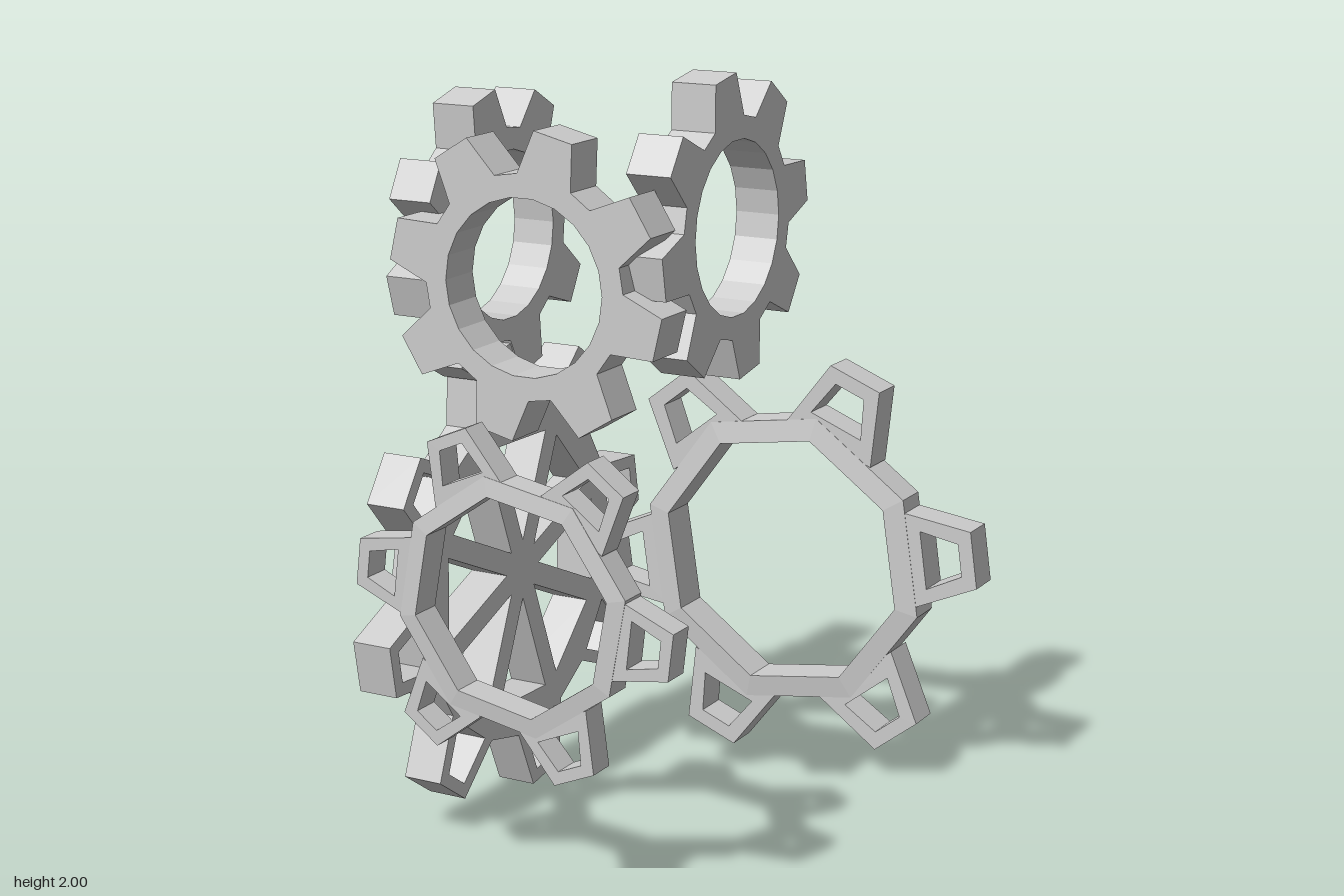
import * as THREE from 'three';

const TAU = Math.PI * 2;
const rad = (deg) => deg * Math.PI / 180;
const material = new THREE.MeshStandardMaterial({ color: 0xcccccc, flatShading: true, side: THREE.DoubleSide });

// Point at distance r along direction a, shifted sideways by s
const at = (a, r, s) => new THREE.Vector2(r * Math.cos(a) - s * Math.sin(a), r * Math.sin(a) + s * Math.cos(a));

// Trapezoid pointing along a: half widths w0 at r0 and w1 at r1
const trapezoid = (a, r0, w0, r1, w1) => [at(a, r0, -w0), at(a, r1, -w1), at(a, r1, w1), at(a, r0, w0)];

function extrude(shape, depth) {
  return new THREE.ExtrudeGeometry(shape, { depth, bevelEnabled: false, curveSegments: 20 })
    .translate(0, 0, -depth / 2);
}

function mesh(geometry, name) {
  const m = new THREE.Mesh(geometry, material);
  m.name = name;
  return m;
}

// Outline of a gear with tapered teeth
function gearShape({ teeth, phase, root, base, outer, tip }) {
  const points = [];
  for (let i = 0; i < teeth; i++) {
    points.push(...trapezoid(rad(phase) + i / teeth * TAU, root, base, outer, tip));
  }
  return new THREE.Shape(points);
}

// Small gear with a round bore
function smallGear(name, phase) {
  const shape = gearShape({ teeth: 8, phase, root: 0.267, base: 0.076, outer: 0.38, tip: 0.054 });
  const bore = [];
  for (let i = 0; i < 22; i++) bore.push(at(i / 22 * TAU, 0.22, 0));
  shape.holes.push(new THREE.Path(bore));
  return mesh(extrude(shape, 0.12), name);
}

// Large gear with spokes and windowed teeth
function spokedGear(name, phase, spokePhase) {
  const shape = gearShape({ teeth: 8, phase, root: 0.45, base: 0.112, outer: 0.624, tip: 0.07 });
  for (let i = 0; i < 8; i++) {
    const a = rad(phase) + i / 8 * TAU;
    shape.holes.push(new THREE.Path(trapezoid(a, 0.455, 0.075, 0.59, 0.043)));
    const b = rad(spokePhase + 22.5) + i / 8 * TAU;
    shape.holes.push(new THREE.Path([at(b, 0.08, 0), at(b, 0.358, -0.115), at(b, 0.358, 0.115)]));
  }
  return mesh(extrude(shape, 0.11), name);
}

// Eight-sided bevelled rim carrying six open teeth; s scales the face, not the depth
function rimGear(name, phase, rimPhase, s, depth, rimDepth) {
  const group = new THREE.Group();
  group.name = name;
  const h = rimDepth / 2, e = depth / 2 + 0.001;
  const profile = [[0.36, -h], [0.362, -h], [0.425, -e], [0.425, e], [0.362, h], [0.36, h], [0.36, -h]]
    .map(([r, y]) => new THREE.Vector2(r * s, y));
  const rim = mesh(new THREE.LatheGeometry(profile, 8).rotateX(Math.PI / 2), 'rim');
  rim.rotation.z = rad(rimPhase);
  group.add(rim);
  for (let i = 0; i < 6; i++) {
    const shape = new THREE.Shape(trapezoid(0, 0.375 * s, 0.135 * s, 0.577 * s, 0.078 * s));
    shape.holes.push(new THREE.Path(trapezoid(0, 0.43 * s, 0.08 * s, 0.537 * s, 0.045 * s)));
    const tooth = mesh(extrude(shape, depth), 'tooth');
    tooth.rotation.z = rad(phase) + i / 6 * TAU;
    group.add(tooth);
  }
  return group;
}

export function createModel() {
  const model = new THREE.Group();
  model.name = 'gears';
  const place = (gear, x, y, z, sideways) => {
    gear.position.set(x, y, z);
    if (sideways) gear.rotation.y = Math.PI / 2;
    model.add(gear);
  };

  // Gears facing sideways
  place(spokedGear('spokedGear', 9.8, 21), -0.545, 0.627, 0, true);
  place(smallGear('upperRightGear', 16), -0.546, 1.54, 0.05, true);
  place(smallGear('upperLeftGear', 10), 0.12, 1.615, 0.05, true);

  // Gears facing front and back
  place(smallGear('upperFrontGear', 31.5), -0.18, 1.505, 0.415, false);
  place(rimGear('lowerFrontGear', -7, 12, 0.775, 0.075, 0.088), -0.143, 0.745, 0.575, false);
  place(rimGear('lowerBackGear', 8, 31, 1, 0.097, 0.115), 0.015, 0.585, -0.577, false);
  return model;
}
